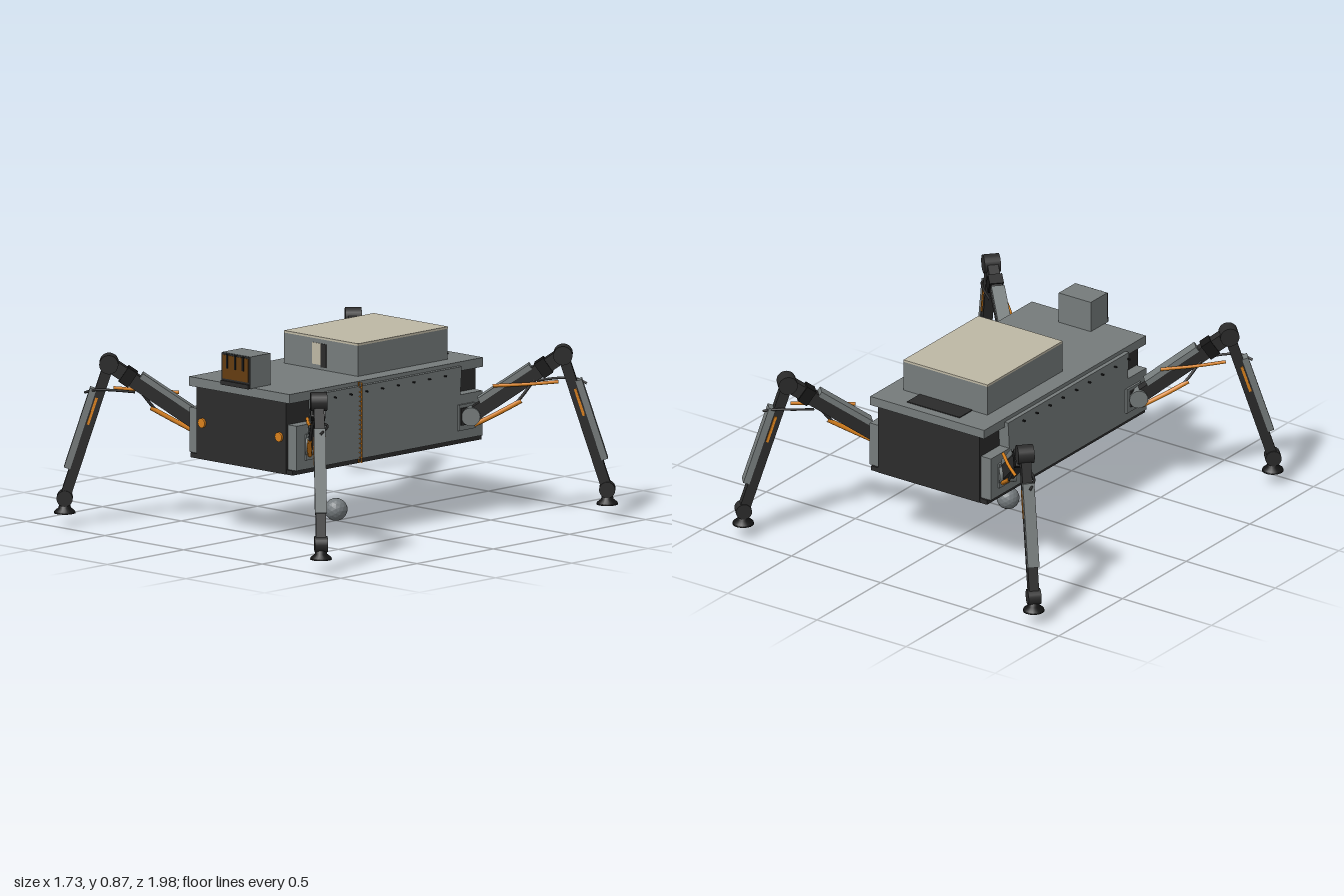
import * as THREE from 'three';

const mat = (name, color, opts = {}) => {
  const m = new THREE.MeshStandardMaterial({ color, ...opts });
  m.name = name;
  return m;
};

export function createModel() {
  const grey = mat('hull grey', 0x757b7b);
  const rock = mat('ball grey', 0x747a7d, { flatShading: true });
  const dark = mat('dark frame', 0x2b2b2b);
  const black = mat('black', 0x161616);
  const beige = mat('beige panel', 0xbdb7a4);
  const orange = mat('orange', 0xd8801c);
  const brown = mat('amber glass', 0x643c10);

  const root = new THREE.Group();
  root.name = 'walker';

  const add = (parent, name, geo, m, x = 0, y = 0, z = 0) => {
    const mesh = new THREE.Mesh(geo, m);
    mesh.name = name;
    mesh.position.set(x, y, z);
    parent.add(mesh);
    return mesh;
  };
  // Box given by its limits on each axis
  const block = (parent, name, m, x0, x1, y0, y1, z0, z1) =>
    add(parent, name, new THREE.BoxGeometry(x1 - x0, y1 - y0, z1 - z0), m,
      (x0 + x1) / 2, (y0 + y1) / 2, (z0 + z1) / 2);
  // Beam along the line a-b in the leg plane, shifted along its normal and sideways
  const beam = (parent, name, m, a, b, thick, width, off = 0, t0 = 0, t1 = 1, side = 0) => {
    const dx = b[0] - a[0], dy = b[1] - a[1], len = Math.hypot(dx, dy), t = (t0 + t1) / 2;
    const mesh = add(parent, name, new THREE.BoxGeometry(len * (t1 - t0), thick, width), m,
      a[0] + dx * t - dy / len * off, a[1] + dy * t + dx / len * off, side);
    mesh.rotation.z = Math.atan2(dy, dx);
    return mesh;
  };
  const tube = (parent, name, m, pts, r) => add(parent, name, new THREE.TubeGeometry(
    new THREE.CatmullRomCurve3(pts.map(p => new THREE.Vector3(...p))), 10, r, 8), m);

  // Hull core and lid
  block(root, 'hullCore', dark, -0.285, 0.285, 0.34, 0.675, -0.622, 0.622);
  block(root, 'lid', grey, -0.32, 0.32, 0.675, 0.718, -0.635, 0.635);

  // Side panels with notched upper corners
  const outline = new THREE.Shape([
    [-0.61, 0.362], [0.61, 0.362], [0.61, 0.57], [0.465, 0.57], [0.475, 0.70],
    [-0.475, 0.70], [-0.465, 0.57], [-0.61, 0.57]].map(p => new THREE.Vector2(...p)));
  for (const s of [-1, 1]) {
    const side = add(root, 'sidePanel', new THREE.ExtrudeGeometry(outline,
      { depth: 0.06, bevelEnabled: false }), grey, s > 0 ? 0.28 : -0.34);
    side.rotation.y = Math.PI / 2;
    block(root, 'lowerSideTrim', dark, s * 0.305 - 0.02, s * 0.305 + 0.02, 0.34, 0.362, -0.62, 0.62);
    // Row of small bolts
    for (let i = 0; i < 9; i++)
      block(root, 'bolt', black, s * 0.347 - 0.008, s * 0.347 + 0.008, 0.668, 0.674,
        -0.363 + i * 0.103, -0.357 + i * 0.103);
    // Front lamps
    const lamp = add(root, 'frontLamp', new THREE.CylinderGeometry(0.022, 0.022, 0.012, 20), orange,
      s * 0.245, 0.51, 0.626);
    lamp.rotation.x = Math.PI / 2;
  }

  // Ladder on the left side
  const ladder = new THREE.Group();
  ladder.name = 'ladder';
  root.add(ladder);
  for (const x of [0.337, 0.357]) block(ladder, 'rail', orange, x - 0.002, x + 0.002, 0.345, 0.72, 0.197, 0.201);
  for (let i = 0; i < 18; i++)
    block(ladder, 'rung', orange, 0.335, 0.359, 0.347 + i * 0.0217, 0.35 + i * 0.0217, 0.197, 0.201);

  // Equipment housing on the deck
  block(root, 'housing', grey, -0.235, 0.235, 0.718, 0.86, -0.49, 0.098);
  block(root, 'housingTop', beige, -0.236, 0.236, 0.86, 0.87, -0.491, 0.099);
  block(root, 'housingLabelPlate', beige, -0.055, 0, 0.74, 0.84, 0.096, 0.101);
  block(root, 'housingHatch', dark, 0, 0.035, 0.73, 0.84, 0.096, 0.101);
  block(root, 'deckVent', dark, -0.15, 0.145, 0.716, 0.722, -0.59, -0.49);

  // Sensor box with amber window
  block(root, 'sensorBox', grey, -0.09, 0.09, 0.716, 0.865, 0.524, 0.654);
  block(root, 'sensorFace', dark, -0.09, 0.09, 0.733, 0.863, 0.652, 0.658);
  block(root, 'sensorWindow', brown, -0.08, 0.08, 0.745, 0.855, 0.656, 0.661);
  block(root, 'sensorLip', dark, -0.088, 0.088, 0.716, 0.736, 0.65, 0.668);
  for (const x of [-0.05, 0, 0.05])
    block(root, 'sensorBar', black, x - 0.005, x + 0.005, 0.795, 0.86, 0.657, 0.665);

  // Ball under the hull
  add(root, 'ball', new THREE.IcosahedronGeometry(0.053, 2), rock, 0, 0.056, 0);

  // One leg: local x points outwards, hip at the origin column
  const hip = [0, 0.47], knee = [0.42, 0.755], ankle = [0.622, 0.13];
  const makeLeg = () => {
    const leg = new THREE.Group();
    leg.name = 'leg';
    const pivot = (name, p, r, w, m) => {
      const c = add(leg, name, new THREE.CylinderGeometry(r, r, w, 20), m, p[0], p[1], 0);
      c.rotation.x = Math.PI / 2;
    };
    pivot('hipJoint', hip, 0.043, 0.08, grey);
    pivot('kneeJoint', knee, 0.044, 0.075, dark);
    pivot('ankleJoint', ankle, 0.037, 0.06, dark);
    // Upper leg
    beam(leg, 'upperBeam', dark, hip, knee, 0.065, 0.05);
    beam(leg, 'upperCover', grey, hip, knee, 0.026, 0.062, 0.04, 0.14, 0.7);
    beam(leg, 'upperCollar', black, hip, knee, 0.08, 0.066, 0, 0.74, 0.84);
    // Lower leg
    beam(leg, 'lowerBeam', dark, knee, ankle, 0.048, 0.046);
    beam(leg, 'shinCover', grey, knee, ankle, 0.03, 0.054, 0.033, 0.2, 0.79);
    for (const s of [-1, 1])
      beam(leg, 'shinStripe', orange, knee, ankle, 0.012, 0.006, 0.005, 0.25, 0.45, s * 0.026);
    // Pistons and hose
    tube(leg, 'liftPiston', orange, [[0.015, 0.43, 0.02], [0.13, 0.49, 0.028], [0.23, 0.545, 0.03]], 0.011);
    tube(leg, 'liftRod', dark, [[0.12, 0.485, 0.028], [0.2, 0.53, 0.03], [0.29, 0.64, 0.02]], 0.007);
    tube(leg, 'kneePiston', orange, [[0.1, 0.615, 0.036], [0.25, 0.623, 0.04], [0.4, 0.635, 0.036]], 0.008);
    tube(leg, 'kneeHose', dark, [[0.3, 0.628, -0.03], [0.4, 0.638, -0.04], [0.48, 0.638, -0.03], [0.53, 0.62, 0]], 0.006);
    // Foot pad
    add(leg, 'foot', new THREE.LatheGeometry([[0, 0.06], [0.05, 0.06], [0.047, 0.07], [0.028, 0.085],
      [0.024, 0.12], [0, 0.12]].map(p => new THREE.Vector2(...p)), 20), black, ankle[0], 0, 0);
    return leg;
  };

  // Four legs with their mounts
  for (const sx of [-1, 1]) for (const sz of [-1, 1]) {
    const leg = makeLeg();
    leg.position.set(sx * 0.36, 0, sz * 0.515);
    leg.rotation.y = Math.atan2(-sz * 0.68, sx * 0.73);
    root.add(leg);
    const x = sx * 0.338, z = sz * 0.5;
    block(root, 'legMount', grey, x - 0.012, x + 0.012, 0.405, 0.525, z - 0.055, z + 0.055);
    block(root, 'mountBracket', dark, x - 0.02, x + 0.02, 0.43, 0.51, z - 0.03, z + 0.045);
  }
  return root;
}
